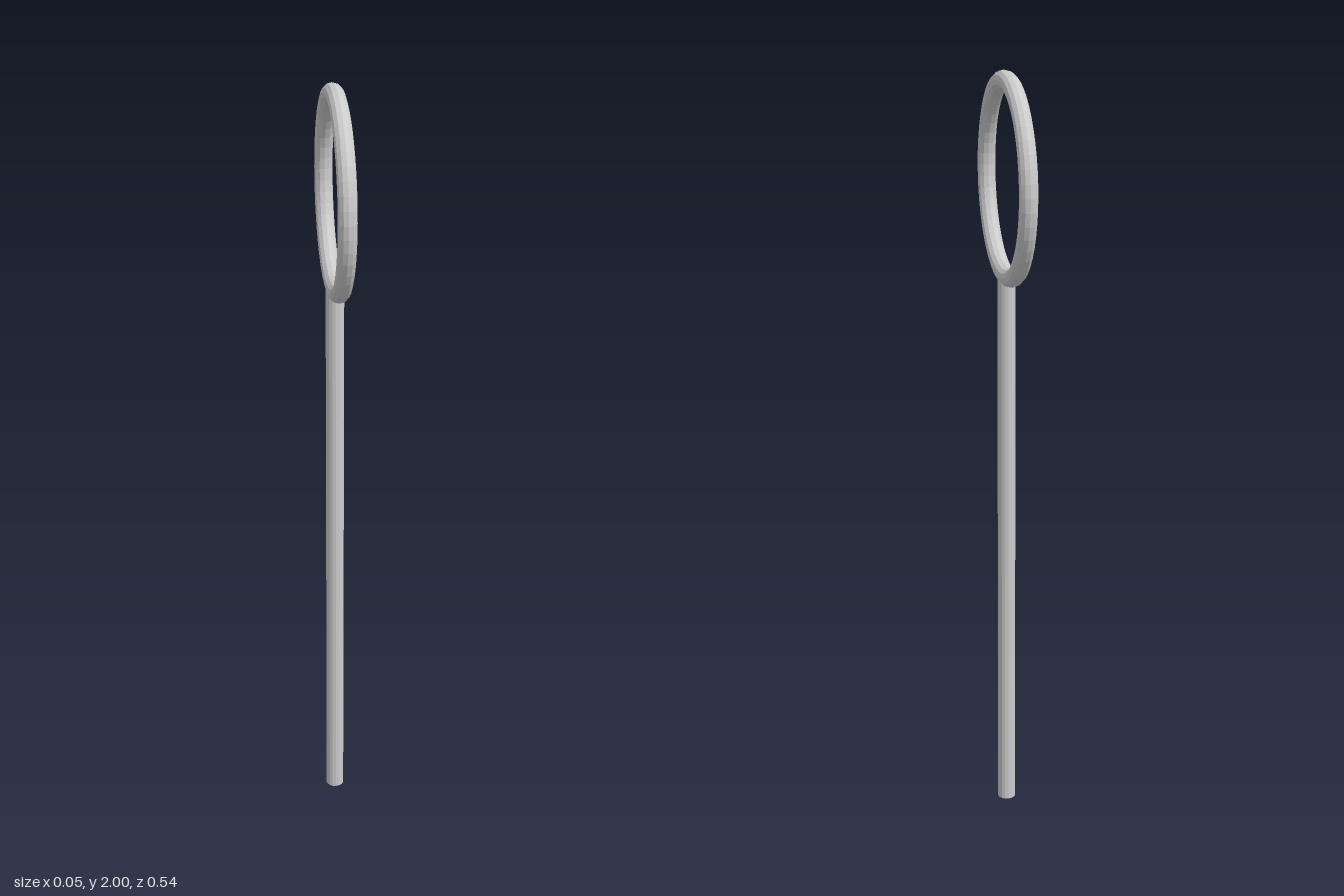
import * as THREE from 'three';

export function createModel() {
  const model = new THREE.Group();
  const material = new THREE.MeshStandardMaterial({ color: 0xcccccc, flatShading: true });

  const tubeRadius = 0.0237;
  const ringRadius = 0.246;
  const ringCentre = 2 - ringRadius - tubeRadius;
  const poleHeight = ringCentre - ringRadius; // the pole ends inside the ring's tube

  // Straight round pole standing on the ground
  const pole = new THREE.Mesh(
    new THREE.CylinderGeometry(tubeRadius, tubeRadius, poleHeight, 16),
    material
  );
  pole.name = 'pole';
  pole.position.y = poleHeight / 2;
  model.add(pole);

  // Upright ring on top, open towards the sides
  const ring = new THREE.Mesh(
    new THREE.TorusGeometry(ringRadius, tubeRadius, 12, 48),
    material
  );
  ring.name = 'ring';
  ring.rotation.y = Math.PI / 2;
  ring.position.y = ringCentre;
  model.add(ring);

  return model;
}
